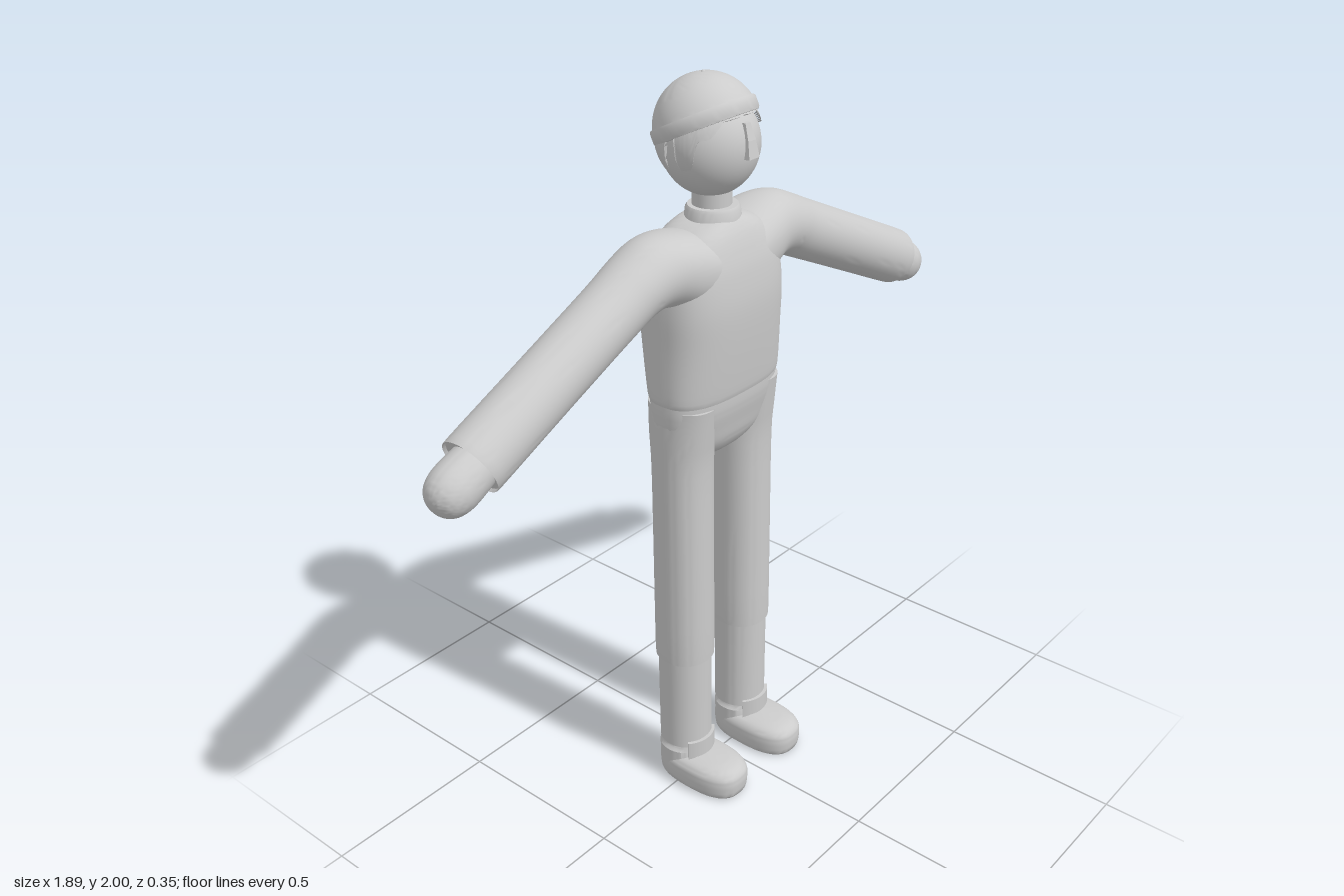
import * as THREE from 'three';
import { toCreasedNormals } from 'three/addons/utils/BufferGeometryUtils.js';

const material = new THREE.MeshStandardMaterial({ color: 0xcccccc });
const rad = THREE.MathUtils.degToRad;

// Smooth interpolation of section rows (Catmull-Rom per column)
function refine(rows, steps) {
  if (steps < 2) return rows;
  const out = [];
  for (let i = 0; i < rows.length - 1; i++) {
    const a = rows[Math.max(i - 1, 0)], b = rows[i], c = rows[i + 1], d = rows[Math.min(i + 2, rows.length - 1)];
    for (let s = 0; s < steps; s++) {
      const t = s / steps;
      out.push(b.map((v, k) => {
        const m0 = (c[k] - a[k]) / 2, m1 = (d[k] - v) / 2;
        return (2 * v - 2 * c[k] + m0 + m1) * t ** 3 + (-3 * v + 3 * c[k] - 2 * m0 - m1) * t * t + m0 * t + v;
      }));
    }
  }
  out.push(rows[rows.length - 1]);
  return out;
}

// Capped loft of superellipse sections: [x, y, z, halfWidth, halfDepth, exponent, tilt in degrees]
function loft(sections, steps = 1, crease = 40) {
  const seg = 48, pos = [], index = [];
  let rows = refine(sections, steps);
  const cap = (r) => [r[0], r[1], r[2], 0.0005, 0.0005, 2, r[6]];
  rows = [cap(rows[0]), ...rows, cap(rows[rows.length - 1])];
  for (const [x, y, z, hw, hd, n, tilt] of rows) {
    for (let j = 0; j < seg; j++) {
      const t = (j / seg) * Math.PI * 2, c = Math.cos(t), s = Math.sin(t);
      const u = hw * Math.sign(c) * Math.abs(c) ** (2 / n), v = hd * Math.sign(s) * Math.abs(s) ** (2 / n);
      pos.push(x + u * Math.cos(rad(tilt)), y + u * Math.sin(rad(tilt)), z + v);
    }
  }
  for (let i = 0; i < rows.length - 1; i++) {
    for (let j = 0; j < seg; j++) {
      const a = i * seg + j, b = i * seg + (j + 1) % seg, c = a + seg, d = b + seg;
      index.push(a, c, b, b, c, d);
    }
  }
  const g = new THREE.BufferGeometry();
  g.setAttribute('position', new THREE.Float32BufferAttribute(pos, 3));
  g.setIndex(index);
  return toCreasedNormals(g, rad(crease));
}

const upright = (rows, n) => rows.map(([y, hw, z, hd]) => [0, y, z, hw, hd, n, 0]);
const place = (rows, x) => rows.map((r) => [x, ...r.slice(1)]);
const mirror = (rows) => rows.map((r) => [-r[0], r[1], r[2], r[3], r[4], r[5], -r[6]]);

// Spherical hair shell whose lower edge follows a hairline
function hairGeometry(radius, cy) {
  // Hairline: [degrees from the front, height]
  const line = [[0, 1.918], [32, 1.912], [48, 1.875], [62, 1.868], [67, 1.81], [73, 1.783], [82, 1.783],
    [87, 1.81], [90, 1.875], [99, 1.878], [104, 1.83], [107, 1.768], [135, 1.752], [180, 1.745]];
  const edge = (deg) => {
    const k = Math.max(1, line.findIndex((p) => p[0] >= deg));
    const [a, b] = [line[k - 1], line[k]];
    return THREE.MathUtils.lerp(a[1], b[1], (deg - a[0]) / (b[0] - a[0]));
  };
  const seg = 144, bands = 24;
  const g = new THREE.SphereGeometry(radius, seg, bands + 1);
  const p = g.attributes.position;
  for (let i = 0; i <= bands + 1; i++) {
    for (let j = 0; j <= seg; j++) {
      const phi = (j / seg) * Math.PI * 2;
      const deg = Math.min(j, seg - j) * 360 / seg;
      const theta = Math.acos((edge(deg) - cy) / radius) * Math.min(i / bands, 1);
      const r = i > bands ? radius * 0.87 : radius;
      p.setXYZ(i * (seg + 1) + j, r * Math.sin(theta) * Math.sin(phi), r * Math.cos(theta), r * Math.sin(theta) * Math.cos(phi));
    }
  }
  return toCreasedNormals(g, rad(40));
}

export function createModel() {
  const model = new THREE.Group();
  const add = (name, geometry, x = 0, y = 0, z = 0, parent = model) => {
    const mesh = new THREE.Mesh(geometry, material);
    mesh.name = name;
    mesh.position.set(x, y, z);
    parent.add(mesh);
    return mesh;
  };

  // Sweater body, collar and neck
  add('torso', loft(upright([
    [1.203, 0.197, -0.02, 0.1], [1.218, 0.205, -0.02, 0.107], [1.35, 0.203, -0.025, 0.125],
    [1.45, 0.203, -0.026, 0.13], [1.53, 0.195, -0.026, 0.122], [1.58, 0.175, -0.026, 0.11],
    [1.62, 0.14, -0.026, 0.095], [1.643, 0.1, -0.025, 0.08], [1.655, 0.065, -0.024, 0.068],
  ], 2.7), 5));
  add('collar', loft(upright([[1.62, 0.08, -0.022, 0.075], [1.645, 0.074, -0.022, 0.071],
    [1.675, 0.069, -0.022, 0.068], [1.682, 0.064, -0.022, 0.063]], 2)));
  add('neck', new THREE.CylinderGeometry(0.05, 0.05, 0.14, 40), 0, 1.7, -0.025);

  // Hips bridging the two trouser legs
  add('hips', loft(upright([
    [1.015, 0.05, -0.025, 0.03], [1.03, 0.1, -0.025, 0.055], [1.07, 0.16, -0.024, 0.08],
    [1.12, 0.193, -0.023, 0.092], [1.17, 0.2, -0.02, 0.1], [1.215, 0.199, -0.02, 0.103],
  ], 2.7), 5));

  // Limbs, built for the left side and mirrored
  const arm = [
    [0.06, 1.53, -0.028, 0.1, 0.115, 2.3, -90], [0.15, 1.553, -0.029, 0.1, 0.108, 2.2, -95],
    [0.22, 1.563, -0.03, 0.093, 0.096, 2, -103], [0.285, 1.549, -0.03, 0.082, 0.088, 2, -113],
    [0.37, 1.51, -0.03, 0.08, 0.082, 2, -115.3], [0.6, 1.402, -0.03, 0.08, 0.08, 2, -115.3],
    [0.805, 1.305, -0.03, 0.08, 0.08, 2, -115.3], [0.815, 1.3, -0.03, 0.077, 0.077, 2, -115.3],
  ];
  // Mitten: distance past the cuff, half height, half depth
  const hand = [[-0.04, 0.055, 0.055], [0, 0.06, 0.06], [0.05, 0.063, 0.062], [0.08, 0.061, 0.06],
    [0.105, 0.053, 0.052], [0.122, 0.039, 0.039], [0.132, 0.022, 0.022], [0.135, 0.004, 0.004]]
    .map(([d, h, w]) => [0.815 + d * 0.904, 1.295 - d * 0.427, -0.03, h, w, 2, -115.3]);
  const trouser = upright([[0.428, 0.074, -0.025, 0.077], [0.436, 0.078, -0.025, 0.08], [0.75, 0.077, -0.025, 0.08],
    [1.0, 0.077, -0.025, 0.08], [1.1, 0.077, -0.024, 0.088], [1.19, 0.075, -0.02, 0.095]], 2.2);
  const shin = upright([[0.122, 0.072, -0.025, 0.072], [0.45, 0.073, -0.025, 0.073]], 2.1);
  const ankle = upright([[0.04, 0.074, -0.025, 0.07], [0.104, 0.075, -0.025, 0.071], [0.112, 0.068, -0.025, 0.066],
    [0.118, 0.066, -0.025, 0.066], [0.14, 0.066, -0.025, 0.066]], 2.1);
  const shoe = upright([[0.002, 0.07, 0.041, 0.128], [0.01, 0.077, 0.041, 0.135], [0.05, 0.08, 0.041, 0.138],
    [0.07, 0.076, 0.041, 0.132], [0.084, 0.062, 0.038, 0.117], [0.091, 0.038, 0.032, 0.09]], 2.6);
  shoe[0][1] = 0;

  for (const [side, flip] of [['left', (r) => r], ['right', mirror]]) {
    const sx = side === 'left' ? 1 : -1;
    add(side + 'Sleeve', loft(flip(arm), 5));
    add(side + 'Hand', loft(flip(hand), 3));
    add(side + 'TrouserLeg', loft(place(trouser, 0.122 * sx), 3));
    add(side + 'Shin', loft(place(shin, 0.122 * sx)));
    const foot = new THREE.Group();
    foot.name = side + 'Shoe';
    model.add(foot);
    add('shoeBody', loft(place(shoe, 0.123 * sx), 3), 0, 0, 0, foot);
    add('shoeAnkle', loft(place(ankle, 0.123 * sx)), 0, 0, 0, foot);
    // Curved tongue standing in front of the shin
    const tongue = new THREE.Shape();
    tongue.absarc(0, 0, 0.082, rad(-135), rad(-45), false);
    tongue.absarc(0, 0, 0.07, rad(-45), rad(-135), true);
    const tongueGeometry = new THREE.ExtrudeGeometry(tongue, { depth: 0.06, bevelEnabled: false, curveSegments: 16 });
    tongueGeometry.rotateX(-Math.PI / 2);
    add('tongue', tongueGeometry, 0.123 * sx, 0.082, -0.025, foot);
  }

  // Head with hair, cap and nose
  const head = new THREE.Group();
  head.name = 'head';
  model.add(head);
  add('face', new THREE.SphereGeometry(0.123, 48, 32), 0, 1.833, -0.03, head).scale.y = 1.05;
  add('hair', hairGeometry(0.131, 1.85), 0, 1.85, -0.036, head);

  const profile = [[0.112, -0.004], [0.131, -0.002], [0.134, 0.004], [0.134, 0.028], [0.131, 0.034], [0.1265, 0.034]];
  for (let i = 1; i <= 16; i++) {
    const a = THREE.MathUtils.lerp(rad(15), Math.PI / 2, i / 16);
    profile.push([Math.max(0.131 * Math.cos(a), 0.0001), 0.131 * Math.sin(a)]);
  }
  const capGeometry = new THREE.LatheGeometry(profile.map(([x, y]) => new THREE.Vector2(x, y)), 64);
  add('cap', toCreasedNormals(capGeometry, rad(40)), 0, 1.868, -0.04, head).rotation.x = rad(-26);
  add('capButton', new THREE.SphereGeometry(0.006, 12, 8), 0, 1.996, -0.05, head);

  const nose = new THREE.Shape([[-0.07, 1.815], [-0.106, 1.818], [-0.098, 1.86], [-0.085, 1.9], [-0.07, 1.9]]
    .map(([x, y]) => new THREE.Vector2(x, y)));
  const noseGeometry = new THREE.ExtrudeGeometry(nose, { depth: 0.04, bevelEnabled: false });
  noseGeometry.translate(0, 0, -0.02).rotateY(Math.PI / 2);
  // Narrow the bridge towards the brow
  const np = noseGeometry.attributes.position;
  for (let i = 0; i < np.count; i++) np.setX(i, np.getX(i) * (1 - 0.55 * (np.getY(i) - 1.815) / 0.085));
  noseGeometry.computeVertexNormals();
  add('nose', noseGeometry, 0, 0, 0, head);

  return model;
}
